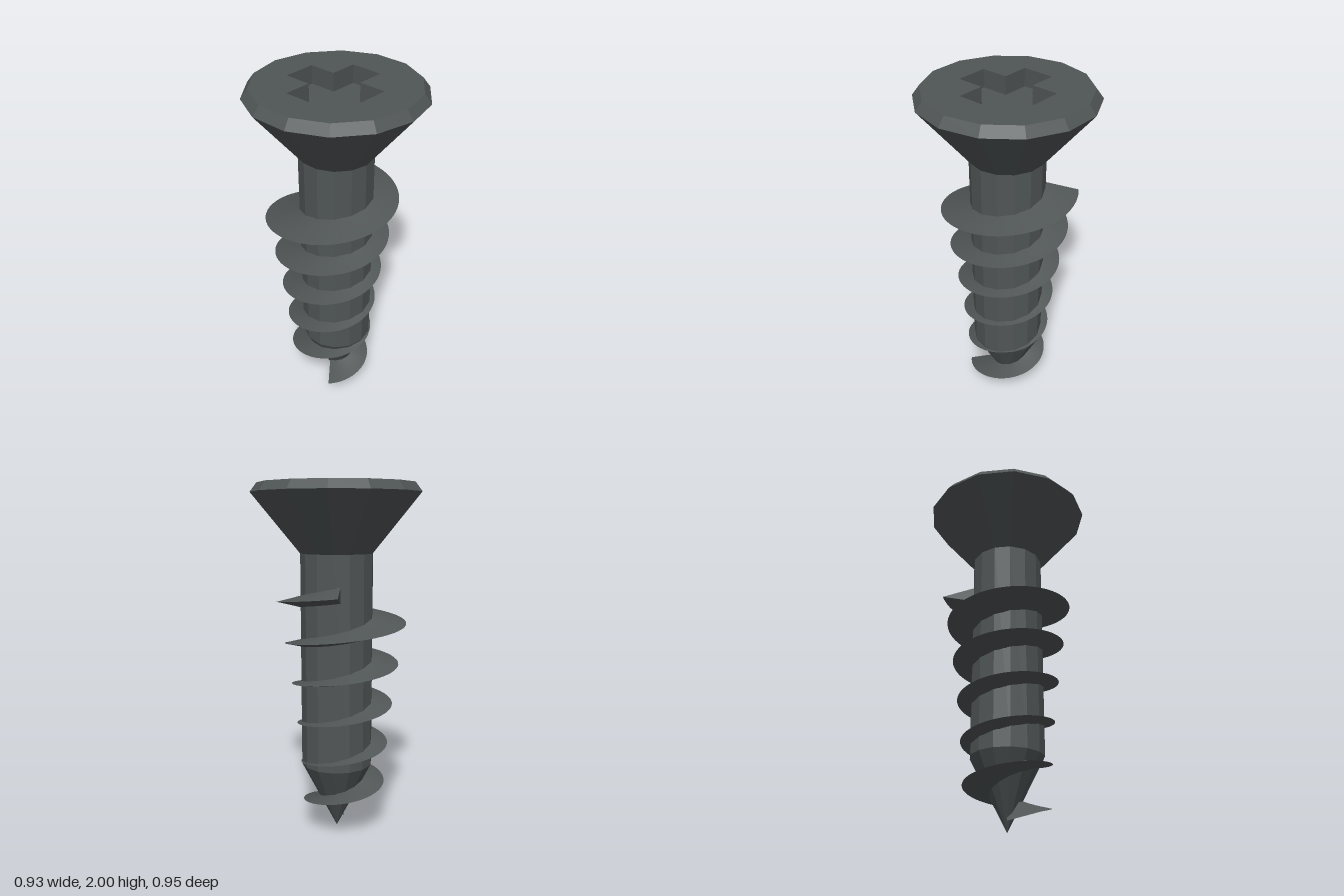
import * as THREE from 'three';

const COLOR = 0x505556;
const flat = new THREE.MeshStandardMaterial({ color: COLOR, flatShading: true });
const smooth = new THREE.MeshStandardMaterial({ color: COLOR });
const SIDES = 14;

// Surface between two rows of points; its front is (b - a) x (direction along the rows)
function strip(a, b) {
  const index = [];
  for (let i = 0; i < a.length - 1; i++) {
    const p = 2 * i;
    index.push(p, p + 1, p + 3, p, p + 3, p + 2);
  }
  const geometry = new THREE.BufferGeometry().setFromPoints(a.flatMap((v, i) => [v, b[i]]));
  geometry.setIndex(index);
  geometry.computeVertexNormals();
  return geometry;
}

function add(group, name, geometry, material) {
  const mesh = new THREE.Mesh(geometry, material);
  mesh.name = name;
  group.add(mesh);
}

function lathe(points) {
  return new THREE.LatheGeometry(points.map(p => new THREE.Vector2(...p)), SIDES);
}

// Outline of the cross-shaped drive, anticlockwise
function crossPoints() {
  const w = 0.0895, l = 0.241;
  return [[w, -l], [w, -w], [l, -w], [l, w], [w, w], [w, l], [-w, l], [-w, w],
    [-l, w], [-l, -w], [-w, -w], [-w, -l]]
    .map(([x, y]) => new THREE.Vector2(x - 0.008, y + 0.007));
}

// Countersunk head with a cross recess
function createHead() {
  const head = new THREE.Group();
  head.name = 'head';
  const top = 2, floor = 1.9, rim = 0.437;
  add(head, 'headCone', lathe([[0.205, 1.62], [0.475, 1.95], [rim, top]]), flat);

  const disc = new THREE.Shape();
  for (let i = 0; i < SIDES; i++) {
    const t = (i / SIDES) * Math.PI * 2;
    const x = -rim * Math.sin(t), y = rim * Math.cos(t);
    i ? disc.lineTo(x, y) : disc.moveTo(x, y);
  }
  const cross = crossPoints();
  disc.holes.push(new THREE.Path(cross));
  add(head, 'headTop', new THREE.ShapeGeometry(disc).rotateX(-Math.PI / 2).translate(0, top, 0), flat);

  const floorGeometry = new THREE.ShapeGeometry(new THREE.Shape(cross));
  add(head, 'recessFloor', floorGeometry.rotateX(-Math.PI / 2).translate(0, floor, 0), flat);

  const loop = [...cross, cross[0]];
  const ring = y => loop.map(p => new THREE.Vector3(p.x, y, -p.y));
  add(head, 'recessWalls', strip(ring(floor), ring(top)), flat);
  return head;
}

// Tapering helical blade with a triangular section
function createThread() {
  const thread = new THREE.Group();
  thread.name = 'thread';
  const turns = 5.5, steps = 352, start = THREE.MathUtils.degToRad(309);
  const upper = [], lower = [], edge = [];
  for (let i = 0; i <= steps; i++) {
    const t = i / steps;
    const angle = start + t * turns * Math.PI * 2;
    const y = 0.111 + 1.294 * t;
    const r = 0.232 + 0.04 * t + 0.118 * t * t;
    const half = 0.235 * r;
    upper.push(new THREE.Vector3(0, y + half, 0));
    lower.push(new THREE.Vector3(0, y - half, 0));
    edge.push(new THREE.Vector3(r * Math.sin(angle), y, r * Math.cos(angle)));
  }
  add(thread, 'threadUpperFlank', strip(upper, edge), smooth);
  add(thread, 'threadLowerFlank', strip(edge, lower), smooth);

  // End faces
  const cap = points => {
    const geometry = new THREE.BufferGeometry().setFromPoints(points);
    geometry.computeVertexNormals();
    return geometry;
  };
  add(thread, 'threadStart', cap([upper[0], lower[0], edge[0]]), flat);
  add(thread, 'threadEnd', cap([lower[steps], upper[steps], edge[steps]]), flat);
  thread.position.set(-0.027, 0, -0.027);
  return thread;
}

export function createModel() {
  const screw = new THREE.Group();
  screw.name = 'screw';
  // Pointed shank
  add(screw, 'shank', lathe([[0, 0], [0.205, 0.4], [0.205, 1.62]]), flat);
  screw.add(createHead(), createThread());
  return screw;
}
